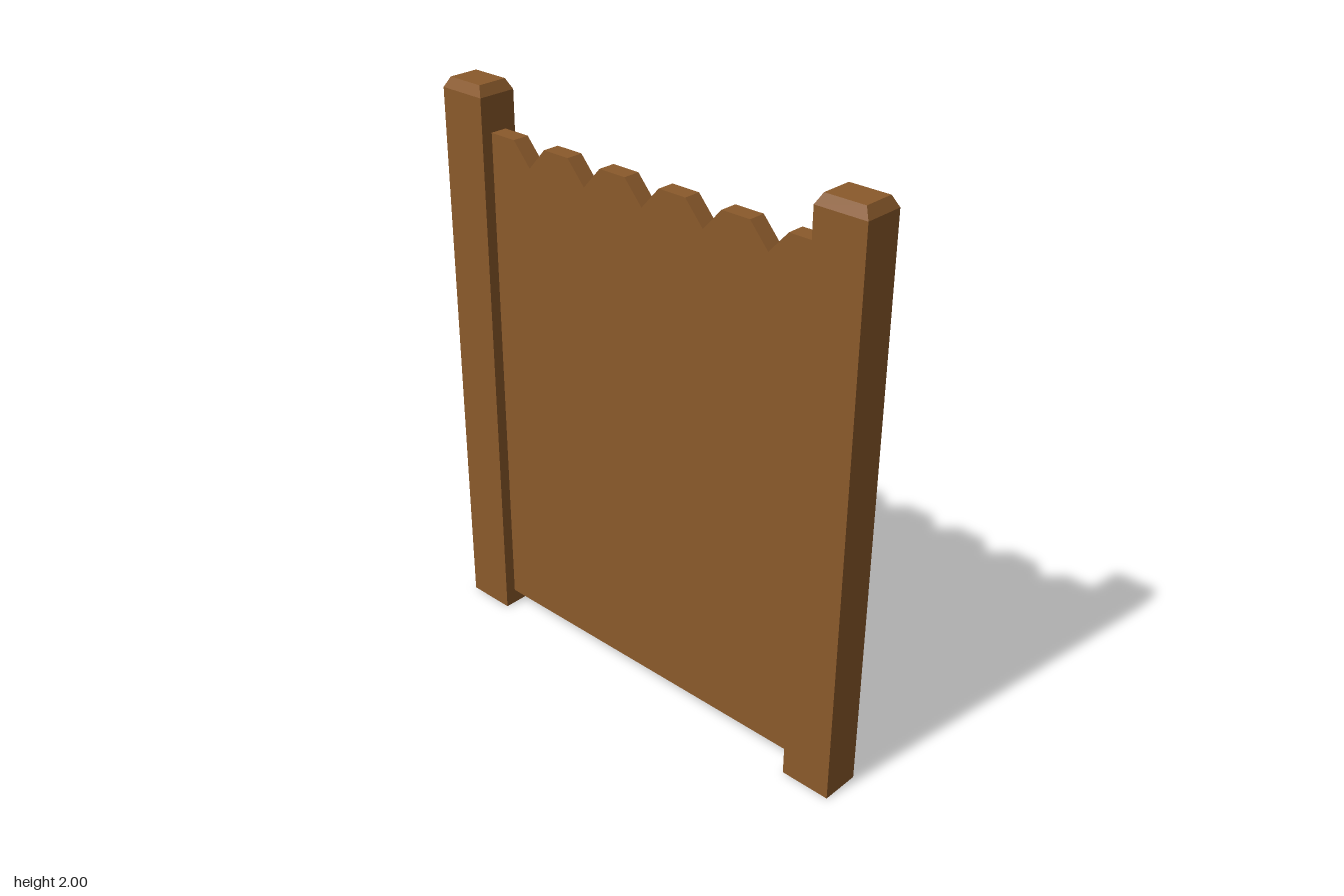
import * as THREE from 'three';

const wood = new THREE.MeshStandardMaterial({ color: 0x8b5a2b });
wood.name = 'brownWood';

// Square post with a chamfered top
function createPost(name, x) {
  const width = 0.18, depth = 0.14, height = 2, chamfer = 0.035, inset = 0.02;
  const box = new THREE.BoxGeometry(width, height, depth, 1, 2, 1);
  box.translate(0, height / 2, 0);
  const p = box.attributes.position;
  for (let i = 0; i < p.count; i++) {
    const y = p.getY(i);
    if (y > height - 0.01) {
      p.setX(i, Math.sign(p.getX(i)) * (width / 2 - inset));
      p.setZ(i, Math.sign(p.getZ(i)) * (depth / 2 - inset * 0.8));
    } else if (y > 0.01) {
      p.setY(i, height - chamfer);
    }
  }
  const geometry = box.toNonIndexed();
  geometry.computeVertexNormals();
  const post = new THREE.Mesh(geometry, wood);
  post.name = name;
  post.position.x = x;
  return post;
}

// Solid panel whose top edge has evenly spaced V notches
function createPanel() {
  const half = 0.68, bottom = 0.055, top = 1.843, notchY = 1.765;
  const spacing = 0.246, notchHalf = 0.07, thickness = 0.06;
  const shape = new THREE.Shape();
  shape.moveTo(-half, bottom);
  shape.lineTo(half, bottom);
  shape.lineTo(half, top);
  for (let i = 2; i >= -2; i--) {
    const x = i * spacing - 0.002;
    shape.lineTo(x + notchHalf, top);
    shape.lineTo(x, notchY);
    shape.lineTo(x - notchHalf, top);
  }
  shape.lineTo(-half, top);
  shape.closePath();
  const geometry = new THREE.ExtrudeGeometry(shape, { depth: thickness, bevelEnabled: false });
  geometry.translate(0, 0, -thickness / 2);
  const panel = new THREE.Mesh(geometry, wood);
  panel.name = 'notchedPanel';
  return panel;
}

export function createModel() {
  const fence = new THREE.Group();
  fence.name = 'fenceSection';
  fence.add(createPost('leftPost', 0.76), createPost('rightPost', -0.76), createPanel());
  return fence;
}
